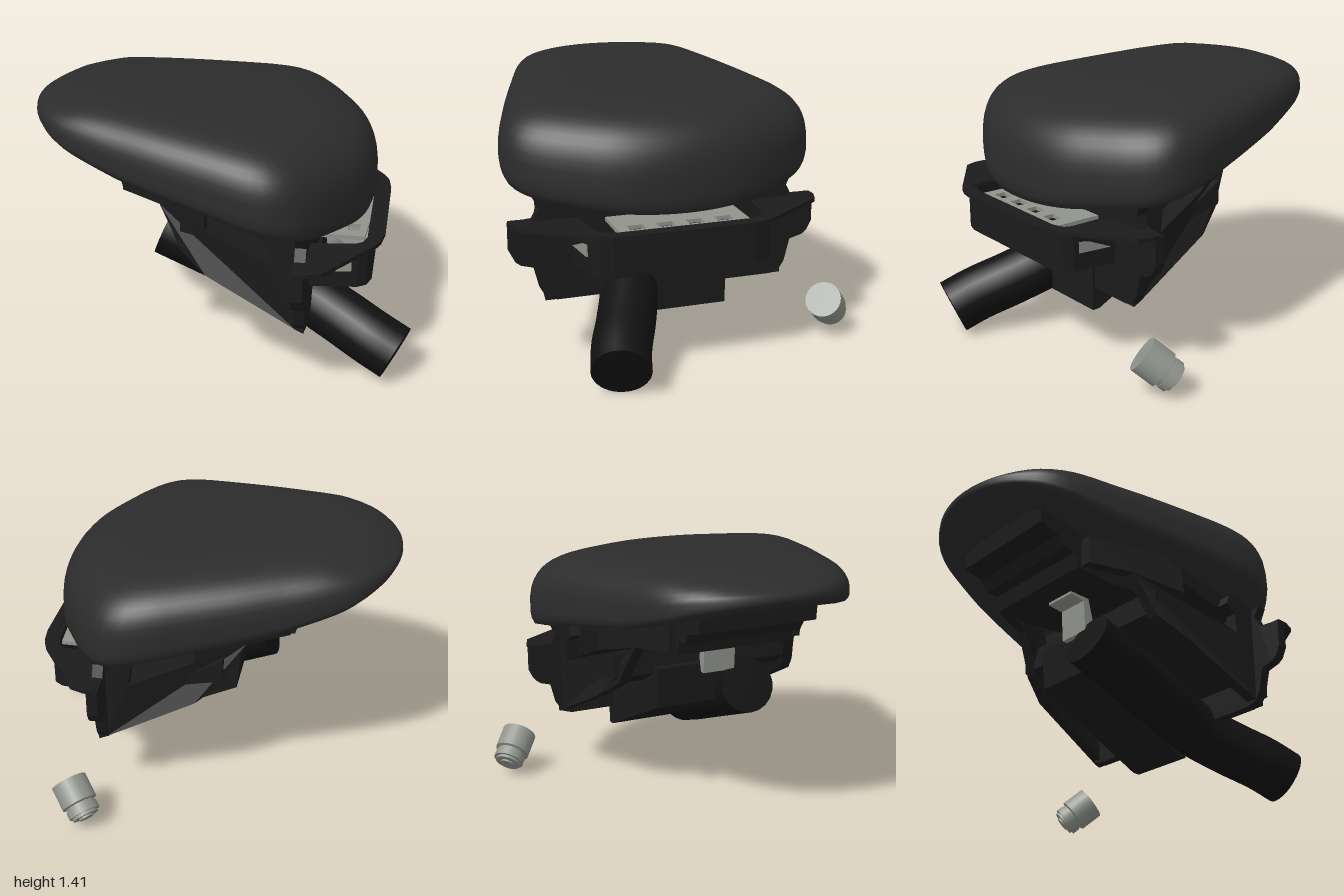
import * as THREE from 'three';

const ZC = 0.085; // centre line of the seat
const ZG = 0.1; // centre line of the front guard
const mat = (color, side = THREE.FrontSide) => new THREE.MeshStandardMaterial({ color, side });

// Linear lookup in a list of [x, value]
function lookup(table, x) {
  if (x <= table[0][0]) return table[0][1];
  for (let i = 1; i < table.length; i++) {
    const [x0, v0] = table[i - 1], [x1, v1] = table[i];
    if (x <= x1) return v0 + (v1 - v0) * (x - x0) / (x1 - x0);
  }
  return table[table.length - 1][1];
}

const toShape = (pts) => new THREE.Shape(pts.map(([a, b]) => new THREE.Vector2(a, b)));
const mirrored = (pts) => pts.slice().reverse().map(([x, z]) => [x, -z]);

export function createModel() {
  const model = new THREE.Group();
  const cushionMat = mat(0x2c2c2c), frameMat = mat(0x1b1b1b, THREE.DoubleSide);
  const tubeMat = mat(0x111111, THREE.DoubleSide), metalMat = mat(0x90948c, THREE.DoubleSide);

  const add = (name, geometry, material, x = 0, y = 0, z = 0) => {
    const mesh = new THREE.Mesh(geometry, material);
    mesh.name = name;
    mesh.position.set(x, y, z);
    model.add(mesh);
    return mesh;
  };
  const extrude = (shape, depth) => new THREE.ExtrudeGeometry(shape, { depth, bevelEnabled: false });
  // Side profile (x, y) extruded between two z values
  const sidePart = (name, pts, z0, z1, material = frameMat) =>
    add(name, extrude(toShape(pts), z1 - z0), material, 0, 0, z0);
  // Symmetric band in plan (x, z), extruded downwards; outer runs to the front, inner runs back
  const bandPart = (name, outer, inner, top, height) =>
    add(name, extrude(toShape([...outer, ...mirrored(outer), ...mirrored(inner), ...inner]), height).rotateX(Math.PI / 2),
      frameMat, 0, top, ZG);
  // Symmetric front profile (half width, y) extruded along x
  const crossPart = (name, pts, x0, x1) => {
    const shape = toShape([...pts, ...pts.slice().reverse().map(([z, y]) => [-z, y])]);
    return add(name, extrude(shape, x1 - x0).rotateY(Math.PI / 2), frameMat, x0, 0, ZG);
  };

  // Cushion: plan outline scaled through rings, from the recessed underside over the dome
  const half = [[-0.97, 0.2], [-0.9, 0.35], [-0.78, 0.48], [-0.4, 0.63], [0, 0.75], [0.2, 0.8],
    [0.33, 0.805], [0.43, 0.765], [0.53, 0.66], [0.63, 0.5], [0.72, 0.32], [0.765, 0.12]];
  const loop = [[-1, 0], ...half, ...mirrored(half)];
  const outline = new THREE.CatmullRomCurve3(loop.map(([x, z]) => new THREE.Vector3(x, 0, z)), true).getSpacedPoints(96);
  outline.pop();
  const bottom = [[-1, 1.28], [-0.74, 1.18], [-0.45, 1.09], [0, 1.0], [0.3, 0.935], [0.5, 0.875], [0.7, 0.83], [0.77, 0.815]];
  const top = [[-1, 1.38], [-0.85, 1.42], [-0.65, 1.428], [-0.4, 1.412], [0, 1.375], [0.4, 1.335], [0.77, 1.305]];
  const rim = (x) => lookup(bottom, x) + 0.025 + 0.085 * (x + 1) / 1.77;
  const under = (x, k) => rim(x) + (lookup(bottom, x) - rim(x)) * k;
  const rings = [
    [0, (x) => under(x, 0.5)], [0.8, (x) => under(x, 0.5)], [0.84, (x) => under(x, 0.95)],
    [0.92, (x) => under(x, 1)], [0.975, (x) => under(x, 0.85)], [0.993, (x) => under(x, 0.45)],
  ];
  for (let i = 0; i <= 20; i++) {
    const s = i === 20 ? 0 : Math.cos(i / 20 * Math.PI / 2);
    const f = Math.pow(1 - Math.pow(s, 4.8), 1 / 3);
    rings.push([s, (x) => rim(x) + (lookup(top, x) - rim(x)) * f]);
  }
  const pos = [], idx = [], n = outline.length;
  rings.forEach(([s, height], i) => outline.forEach((p, j) => {
    pos.push(p.x * s, height(p.x * s), ZC + p.z * s);
    if (i === rings.length - 1) return;
    const a = i * n + j, b = i * n + (j + 1) % n;
    idx.push(a, b, b + n, a, b + n, a + n);
  }));
  const cushion = new THREE.BufferGeometry();
  cushion.setAttribute('position', new THREE.Float32BufferAttribute(pos, 3));
  cushion.setIndex(idx);
  cushion.computeVertexNormals();
  add('cushion', cushion, cushionMat);

  // Stepped base shell below the cushion
  sidePart('rearBase', [[-0.75, 1.22], [-0.74, 1.11], [-0.63, 1.08], [-0.59, 1.02], [-0.52, 1.02], [-0.5, 0.94],
    [-0.26, 0.93], [-0.1, 0.95], [0.02, 0.96], [0.02, 1.06]], ZC - 0.32, ZC + 0.32);
  sidePart('frontBase', [[0, 1.05], [0, 0.95], [0.24, 0.9], [0.5, 0.89], [0.5, 0.95]], ZC - 0.55, ZC + 0.55);

  // Side rails: rear leg, sloping lower rail and front post
  const rail = [[-0.48, 1.1], [-0.48, 0.95], [-0.27, 0.93], [-0.2, 0.8], [-0.16, 0.71], [-0.02, 0.61], [0.44, 0.38], [0.48, 0.36],
    [0.48, 0.78], [0.46, 0.9], [0.42, 0.93], [0.26, 0.92], [0.24, 0.87], [0.3, 0.83], [0.31, 0.715],
    [-0.02, 0.86], [-0.03, 0.97], [-0.1, 1.06]];
  [-1, 1].forEach((s) => {
    const z = ZG + s * 0.6;
    // rear end leans inwards to stay below the cushion
    const { geometry } = sidePart(s > 0 ? 'leftRail' : 'rightRail', rail, z - 0.03, z + 0.03);
    const p = geometry.attributes.position;
    for (let i = 0; i < p.count; i++) p.setZ(i, p.getZ(i) - s * Math.max(0, 0.1 - p.getX(i)) * 0.45);
    geometry.computeVertexNormals();
  });

  // Cross panel between the front posts, with wings under the guard flange
  crossPart('crossPanel', [[0.57, 0.36], [0.62, 0.375], [0.65, 0.42], [0.68, 0.54], [0.75, 0.56], [0.775, 0.58], [0.8, 0.63],
    [0.8, 0.77], [0.68, 0.78], [0.65, 0.84], [0.68, 0.9]], 0.43, 0.485);

  // Sloping deck and central beam beside the tube
  sidePart('deck', [[-0.16, 0.74], [-0.02, 0.66], [0.44, 0.5], [0.44, 0.6], [-0.02, 0.78], [-0.16, 0.86]], ZC - 0.52, ZC + 0.52);
  sidePart('centralBeam', [[-0.22, 0.78], [-0.2, 0.56], [0.46, 0.24], [0.5, 0.24], [0.5, 0.56], [0, 0.76]], -0.215, 0.15);

  // Front guard: slanted top flange over a narrower bumper
  bandPart('guardFlange', [[0.44, 0.8], [0.5, 0.8], [0.57, 0.775], [0.8, 0.44], [0.825, 0.38], [0.84, 0.28]],
    [[0.785, 0.3], [0.76, 0.42], [0.67, 0.44], [0.44, 0.5]], 0.78, 0.02);
  bandPart('bumper', [[0.48, 0.49], [0.72, 0.46], [0.765, 0.43], [0.787, 0.36]],
    [[0.755, 0.34], [0.735, 0.4], [0.7, 0.425], [0.48, 0.455]], 0.775, 0.22);

  // Light inserts on the sides of the bumper
  [-1, 1].forEach((s) => {
    const insert = sidePart(s > 0 ? 'leftInsert' : 'rightInsert',
      [[0.51, 0.645], [0.69, 0.645], [0.69, 0.705], [0.63, 0.695]], -0.004, 0.004, metalMat);
    const p = insert.geometry.attributes.position;
    for (let i = 0; i < p.count; i++) p.setZ(i, p.getZ(i) - s * (p.getX(i) - 0.48) * 0.125);
    insert.position.z = ZG + s * 0.492;
  });

  // Slotted metal tray behind the guard
  const tray = toShape([[0.48, -0.25], [0.74, -0.25], [0.765, 0.085], [0.74, 0.42], [0.48, 0.42]]);
  [-0.17, -0.02, 0.13, 0.28].forEach((z) => tray.holes.push(
    new THREE.Path([[0.65, z], [0.71, z], [0.71, z + 0.08], [0.65, z + 0.08]].map(([a, b]) => new THREE.Vector2(a, b)))));
  add('tray', extrude(tray, 0.02).rotateX(Math.PI / 2), metalMat, 0, 0.765, 0);

  // Small metal bracket at the rear of the frame
  sidePart('rearBracket', [[-0.37, 0.935], [-0.37, 0.92], [-0.28, 0.91], [-0.27, 0.74], [-0.24, 0.74], [-0.22, 0.82], [-0.25, 0.935]],
    0.02, 0.2, metalMat);

  // Support tube with a sideways bend and closed ends
  const path = new THREE.CatmullRomCurve3([[-0.31, 0.655, 0.26], [0.1, 0.487, 0.275], [0.42, 0.355, 0.285],
    [0.62, 0.273, 0.355], [0.8, 0.2, 0.435], [0.93, 0.143, 0.475]].map((p) => new THREE.Vector3(...p)));
  add('supportTube', new THREE.TubeGeometry(path, 40, 0.148, 20), tubeMat);
  [0, 1].forEach((t) => {
    const p = path.getPointAt(t), dir = path.getTangentAt(t).multiplyScalar(t ? 1 : -1);
    add('tubeEnd', new THREE.CircleGeometry(0.148, 20), tubeMat, p.x, p.y, p.z).lookAt(p.clone().add(dir));
  });

  // Loose metal plug with a stepped neck
  const plugProfile = [[0, -0.125], [0.04, -0.125], [0.04, -0.115], [0.07, -0.115], [0.07, -0.1], [0.084, -0.1],
    [0.084, -0.06], [0.078, -0.06], [0.078, -0.045], [0.095, -0.04], [0.095, 0.09], [0, 0.09]];
  const plugPts = plugProfile.flatMap(([r, y]) => [new THREE.Vector2(r, y), new THREE.Vector2(r, y)]);
  const plug = add('plug', new THREE.LatheGeometry(plugPts, 24), metalMat, 0.545, 0.165, -0.785);
  plug.quaternion.setFromUnitVectors(new THREE.Vector3(0, 1, 0), new THREE.Vector3(0.13, 0.14, 0.125).normalize());

  return model;
}
